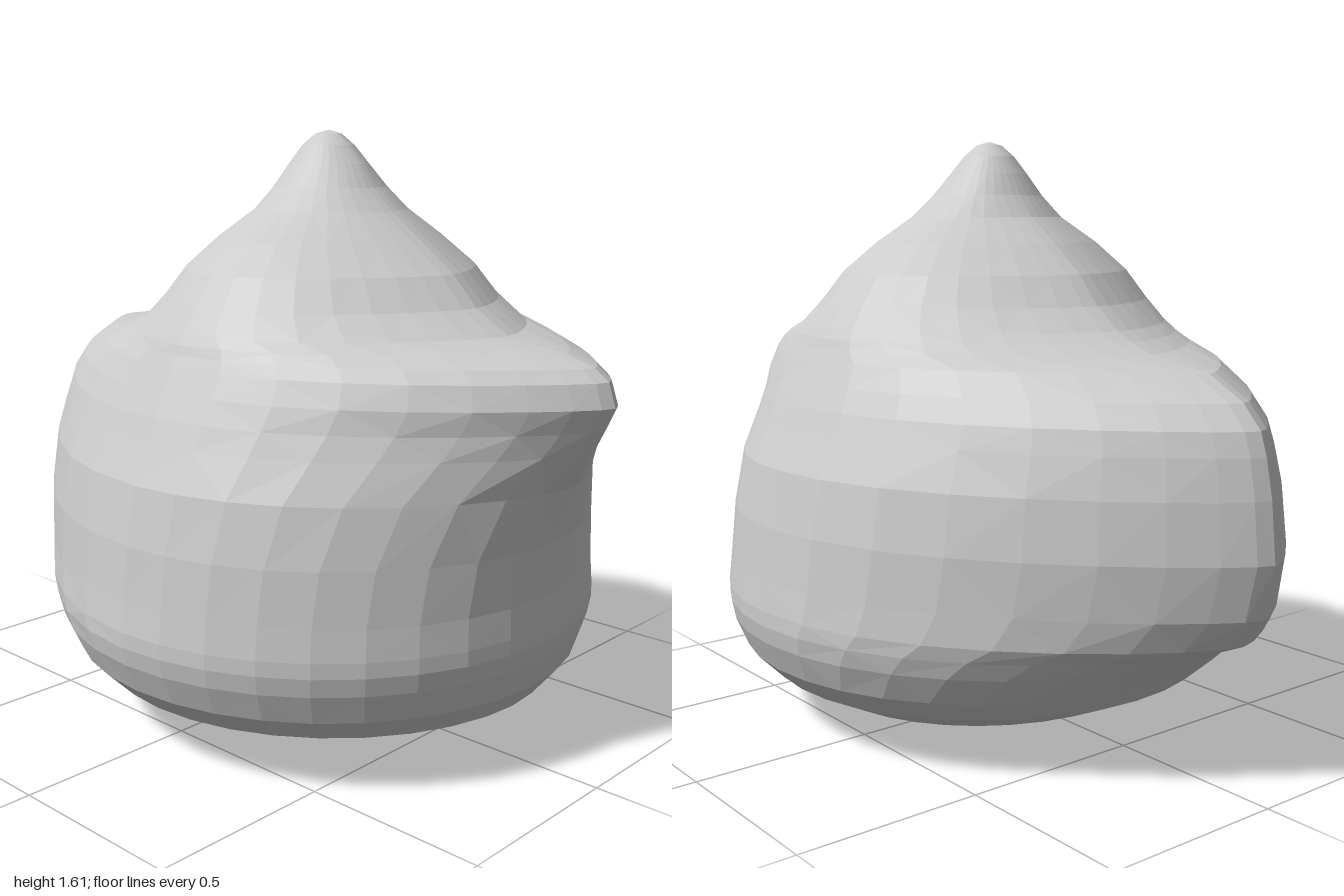
import * as THREE from 'three';

// Horizontal sections: [height, reach to -x, reach to +x, half depth in z]
const SECTIONS = [
  [0.02, -0.20, 0.36, 0.28],
  [0.07, -0.40, 0.56, 0.51],
  [0.14, -0.55, 0.74, 0.645],
  [0.21, -0.63, 0.795, 0.715],
  [0.29, -0.74, 0.82, 0.75],
  [0.34, -0.82, 0.83, 0.76],
  [0.38, -0.91, 0.83, 0.76],
  [0.46, -0.97, 0.825, 0.75],
  [0.60, -1.00, 0.835, 0.735],
  [0.75, -0.985, 0.875, 0.705],
  [0.85, -0.965, 0.935, 0.66],
  [0.91, -0.945, 0.97, 0.635],
  [0.97, -0.89, 1.00, 0.605],
  [1.03, -0.78, 0.98, 0.575],
  [1.06, -0.58, 0.94, 0.56],
  [1.085, -0.51, 0.86, 0.55],
  [1.11, -0.46, 0.69, 0.535],
  [1.17, -0.38, 0.59, 0.495],
  [1.25, -0.31, 0.515, 0.435],
  [1.33, -0.21, 0.405, 0.34],
  [1.40, -0.11, 0.31, 0.225],
  [1.46, -0.06, 0.245, 0.16],
  [1.52, -0.025, 0.20, 0.11],
  [1.57, 0.01, 0.155, 0.07],
  [1.60, 0.045, 0.12, 0.035],
];
const CENTRE = 0.08;
const SIDES = 36;
const { clamp, smoothstep } = THREE.MathUtils;

// Sides reaching beyond the round body taper to a ridge with a rounded tip;
// the shoulders below the knob are slightly diamond-shaped
function sectionPoint([y, left, right, depth], angle) {
  const c = Math.cos(angle), s = Math.sin(angle);
  const reach = c < 0 ? CENTRE - left : right - CENTRE;
  const ridge = clamp((reach / depth - 1) / 0.42, 0, 1) * 1.2;
  const shoulder = 0.6 * smoothstep(y, 0.75, 1.1) * (1 - smoothstep(y, 1.3, 1.5));
  const taper = 1 + Math.max(ridge, shoulder);
  const tip = 0.25;
  const width = (1 - tip) * Math.abs(s) ** taper + tip * Math.abs(s);
  return [CENTRE + reach * c, y, depth * Math.sign(s) * width];
}

function bodyGeometry() {
  const positions = [], index = [];
  for (const section of SECTIONS) {
    for (let j = 0; j < SIDES; j++) {
      positions.push(...sectionPoint(section, (j / SIDES) * Math.PI * 2));
    }
  }
  const bottom = positions.length / 3, top = bottom + 1;
  positions.push(CENTRE, 0, 0, CENTRE, 1.61, 0);

  const last = (SECTIONS.length - 1) * SIDES;
  for (let j = 0; j < SIDES; j++) {
    const k = (j + 1) % SIDES;
    // Closed base and crown
    index.push(bottom, j, k, last + j, top, last + k);
    // Walls, with diagonals alternating
    for (let i = 0; i < SECTIONS.length - 1; i++) {
      const a = i * SIDES + j, b = i * SIDES + k;
      const d = a + SIDES, e = b + SIDES;
      if ((i + j) % 2) index.push(a, d, b, b, d, e);
      else index.push(a, d, e, a, e, b);
    }
  }
  const geometry = new THREE.BufferGeometry();
  geometry.setAttribute('position', new THREE.Float32BufferAttribute(positions, 3));
  geometry.setIndex(index);
  geometry.computeVertexNormals();
  return geometry;
}

export function createModel() {
  const model = new THREE.Group();
  model.name = 'softPot';
  // One continuous skin: round body, knob, tall ridge at -x and spout at +x
  const material = new THREE.MeshStandardMaterial({ color: 0xcccccc, flatShading: true });
  const body = new THREE.Mesh(bodyGeometry(), material);
  body.name = 'potBody';
  model.add(body);
  return model;
}
